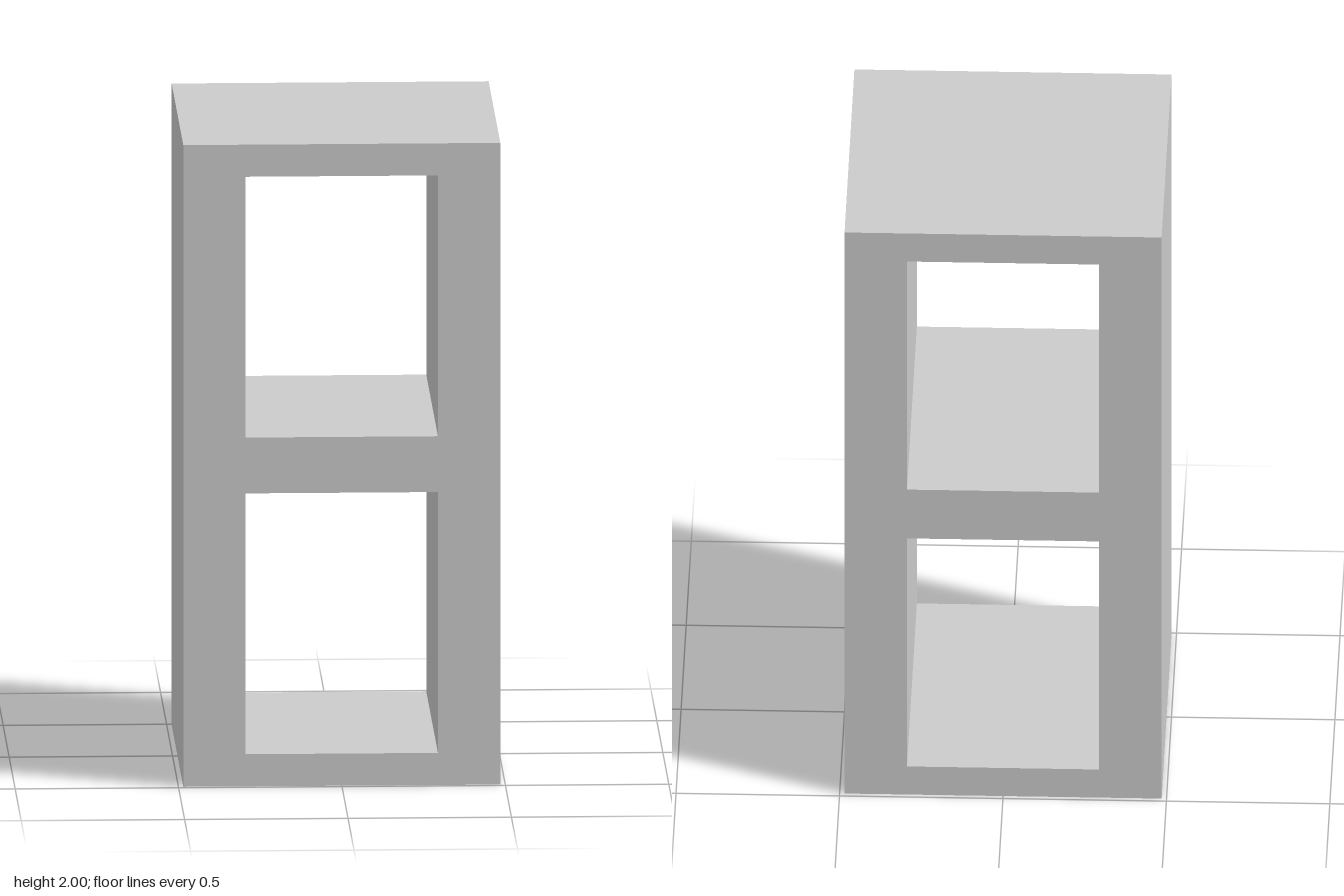
import * as THREE from 'three';

const WIDTH = 0.97, HEIGHT = 2, DEPTH = 0.97;
const HOLE_HALF = 0.294;                       // half width of each cavity
const CAVITIES = [[0.1, 0.913], [1.087, 1.9]]; // bottom and top of each cavity

// Trace a rectangle onto a shape or path
function rectangle(path, x0, y0, x1, y1) {
  path.moveTo(x0, y0);
  path.lineTo(x1, y0);
  path.lineTo(x1, y1);
  path.lineTo(x0, y1);
  path.closePath();
  return path;
}

export function createModel() {
  const group = new THREE.Group();
  group.name = 'hollowBlock';

  // Solid block with two cavities running right through from front to back
  const outline = rectangle(new THREE.Shape(), -WIDTH / 2, 0, WIDTH / 2, HEIGHT);
  for (const [bottom, top] of CAVITIES) {
    outline.holes.push(rectangle(new THREE.Path(), -HOLE_HALF, bottom, HOLE_HALF, top));
  }
  const geometry = new THREE.ExtrudeGeometry(outline, { depth: DEPTH, bevelEnabled: false });
  geometry.translate(0, 0, -DEPTH / 2);

  const block = new THREE.Mesh(geometry, new THREE.MeshStandardMaterial({ color: 0xcccccc }));
  block.name = 'blockBody';
  group.add(block);
  return group;
}
